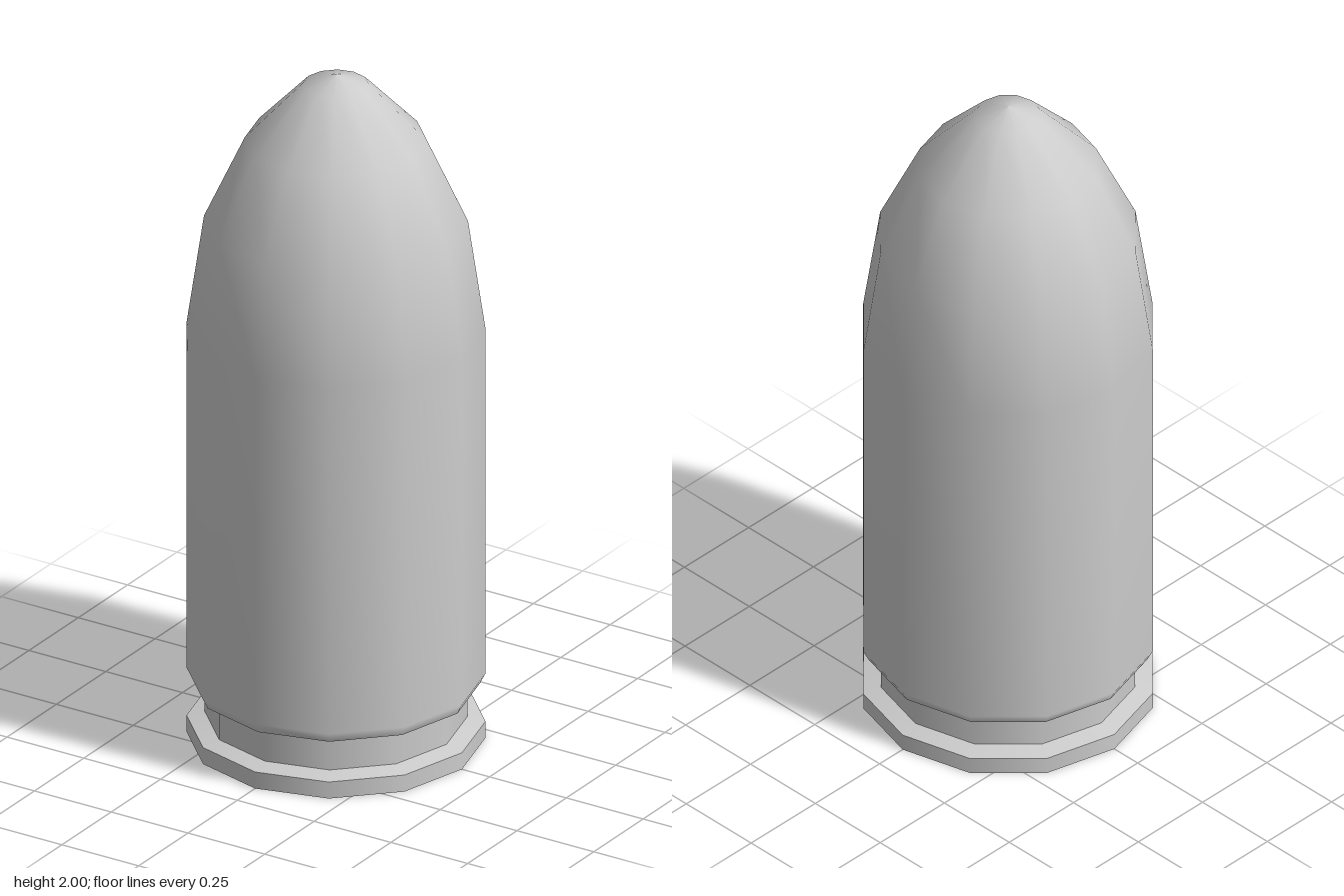
import * as THREE from 'three';

const SIDES = 12;
const material = new THREE.MeshStandardMaterial({ color: 0xcccccc });

// One smooth band of the turned shape; separate bands meet at sharp edges.
function band(name, profile) {
  const points = profile.map(([r, y]) => new THREE.Vector2(r, y));
  const mesh = new THREE.Mesh(new THREE.LatheGeometry(points, SIDES), material);
  mesh.name = name;
  return mesh;
}

export function createModel() {
  const model = new THREE.Group();
  model.name = 'cartridge';

  // Rim at the foot
  const rim = new THREE.Group();
  rim.name = 'rim';
  rim.add(
    band('rimBase', [[0, 0], [0.41, 0]]),
    band('rimEdge', [[0.41, 0], [0.41, 0.05]]),
    band('rimTop', [[0.41, 0.05], [0.36, 0.063]])
  );

  // Extractor groove and the shoulder above it
  const groove = new THREE.Group();
  groove.name = 'groove';
  groove.add(
    band('grooveWall', [[0.36, 0.063], [0.36, 0.152]]),
    band('grooveShoulder', [[0.36, 0.152], [0.395, 0.165]])
  );

  // Straight case running smoothly into the rounded nose
  const body = band('caseAndNose', [
    [0.395, 0.165], [0.41, 0.195], [0.41, 1.24],
    [0.362, 1.565], [0.25, 1.805], [0.09, 1.973], [0, 2]
  ]);

  model.add(rim, groove, body);
  return model;
}
